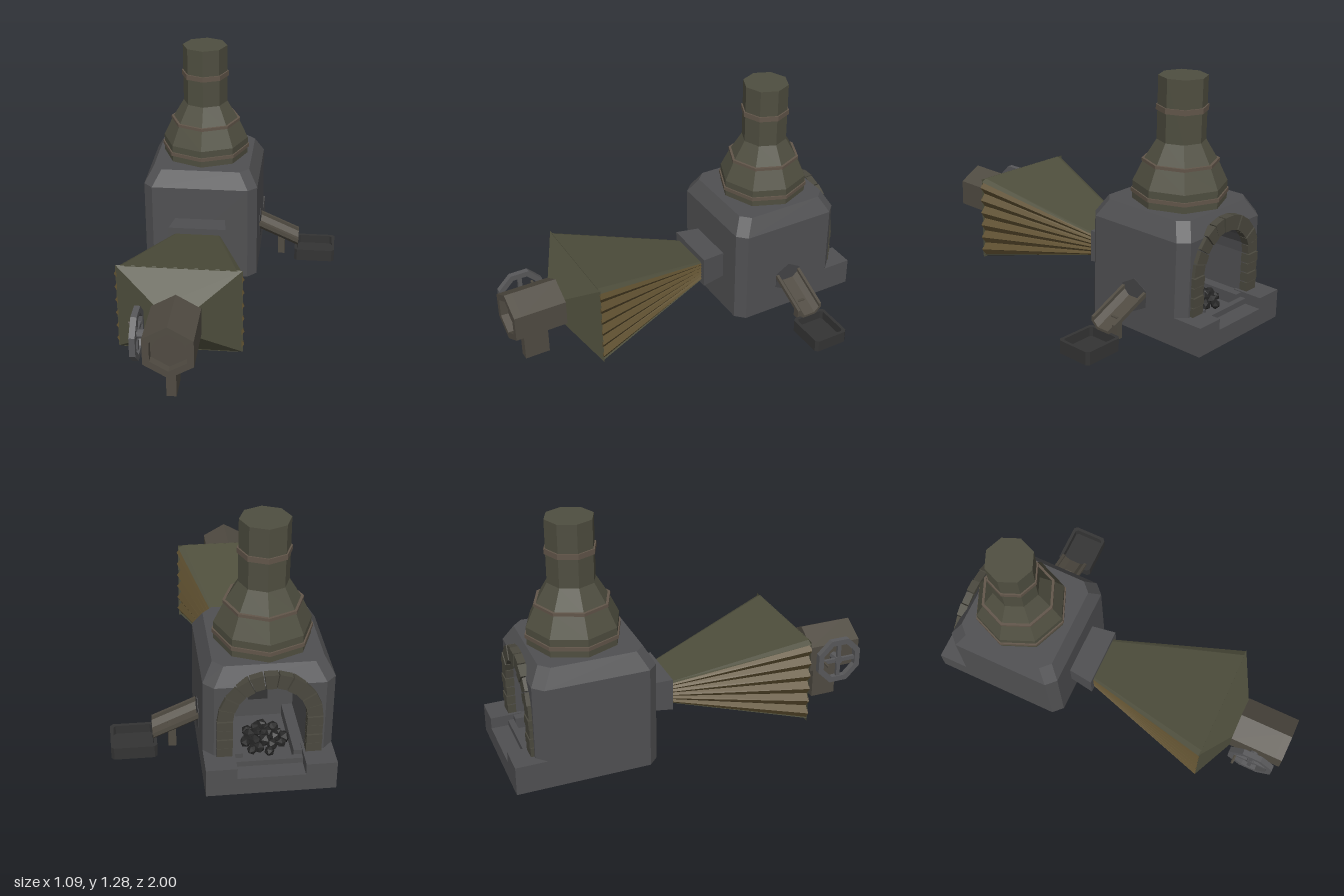
import * as THREE from 'three';

const mat = (color, side = THREE.FrontSide) =>
  new THREE.MeshStandardMaterial({ color, flatShading: true, side });
const stone = mat(0x505052), olive = mat(0x4f4e40), band = mat(0x62564a), leather = mat(0x5f5030),
  plate = mat(0x4e4e3c), pipe = mat(0x504b42), iron = mat(0x343434), brick = mat(0x4a483e),
  steel = mat(0x58585a), coal = mat(0x242424);
const CX = -0.22; // shared centre line of furnace, bellows and pipe

function add(parent, name, geo, material, x = 0, y = 0, z = 0) {
  const mesh = new THREE.Mesh(geo, material);
  mesh.name = name;
  mesh.position.set(x, y, z);
  parent.add(mesh);
  return mesh;
}
// box from min and max corners
function block(parent, name, material, a, b) {
  return add(parent, name, new THREE.BoxGeometry(b[0] - a[0], b[1] - a[1], b[2] - a[2]), material,
    (a[0] + b[0]) / 2, (a[1] + b[1]) / 2, (a[2] + b[2]) / 2);
}
// skin over rings of equal point count, with optional end caps and one optional missing side
function loft(rings, { start = true, end = true, skip = -1 } = {}) {
  const pos = [], n = rings[0].length;
  const tri = (a, b, c) => pos.push(...a, ...b, ...c);
  for (let r = 0; r + 1 < rings.length; r++) {
    for (let i = 0; i < n; i++) {
      if (i === skip) continue;
      const j = (i + 1) % n, A = rings[r], B = rings[r + 1];
      tri(A[i], A[j], B[j]);
      tri(A[i], B[j], B[i]);
    }
  }
  const cap = (ring, flip) => {
    const c = [0, 1, 2].map(k => ring.reduce((s, p) => s + p[k], 0) / n);
    ring.forEach((p, i) => {
      const q = ring[(i + 1) % n];
      flip ? tri(c, q, p) : tri(c, p, q);
    });
  };
  if (start) cap(rings[0], true);
  if (end) cap(rings[rings.length - 1], false);
  const g = new THREE.BufferGeometry();
  g.setAttribute('position', new THREE.Float32BufferAttribute(pos, 3));
  g.computeVertexNormals();
  return g;
}
const section = (pts, z, sx = 1, sy = 1, y = 0) => pts.map(p => [CX + p[0] * sx, y + p[1] * sy, z]);
const rect = (w, h) => [[w, -h], [w, h], [-w, h], [-w, -h]];
const polygon = (n, r, turn = 0) => Array.from({ length: n }, (_, i) => {
  const a = turn + i / n * Math.PI * 2;
  return new THREE.Vector2(Math.cos(a) * r, Math.sin(a) * r);
});
function extrude(outline, depth, hole) {
  const s = new THREE.Shape(outline);
  if (hole) s.holes.push(new THREE.Path(hole));
  return new THREE.ExtrudeGeometry(s, { depth, bevelEnabled: false });
}

function furnace() {
  const g = new THREE.Group();
  g.name = 'furnace';
  const zc = -0.5675, back = -0.885;
  const ring = (y, w, d, c = 0.05) =>
    [[w - c, d], [w, d - c], [w, c - d], [w - c, -d], [c - w, -d], [-w, c - d], [-w, d - c], [c - w, d]]
      .map(([x, z]) => [CX + x, y, zc + z]);
  add(g, 'furnaceWalls', loft([ring(0, 0.32, 0.3175), ring(0.55, 0.32, 0.3175)], { end: false, skip: 3 }), stone);
  add(g, 'furnaceRoof', loft([ring(0.55, 0.32, 0.3175), ring(0.64, 0.27, 0.2675)], { start: false }), stone);

  // arched mouth and the chamber behind it
  const R = 0.183, spring = 0.365, floor = 0.09;
  const arch = [[-R, floor]];
  for (let i = 0; i <= 10; i++) {
    const a = Math.PI * (1 - i / 10);
    arch.push([Math.cos(a) * R, spring + Math.sin(a) * R]);
  }
  arch.push([R, floor]);
  const wall = new THREE.Shape([[-0.27, 0], [0.27, 0], [0.27, 0.55], [-0.27, 0.55]].map(p => new THREE.Vector2(...p)));
  wall.holes.push(new THREE.Path(arch.map(p => new THREE.Vector2(...p))));
  add(g, 'backWall', new THREE.ShapeGeometry(wall), stone, CX, 0, back).rotation.y = Math.PI;
  add(g, 'fireChamber', loft([section(arch, back), section(arch, -0.5)], { start: false }), stone);
  block(g, 'airInlet', iron, [CX - 0.05, 0.2, -0.51], [CX + 0.05, 0.28, -0.497]);

  // hearth ledge, lower in the middle
  for (const s of [-1, 1]) {
    const [a, b] = [CX + s * 0.167, CX + s * 0.32].sort((p, q) => p - q);
    block(g, 'ledgeSide', stone, [a, 0, -1], [b, 0.155, -0.835]);
    const [c, d] = [CX + s * 0.125, CX + s * 0.182].sort((p, q) => p - q);
    block(g, 'hearthCurb', stone, [c, floor, -0.88], [d, 0.15, -0.5]);
  }
  block(g, 'ledgeSill', stone, [CX - 0.167, 0, -1], [CX + 0.167, 0.095, -0.88]);
  block(g, 'hearthLip', stone, [CX - 0.167, 0.09, -0.91], [CX + 0.167, 0.125, -0.88]);

  // brick surround
  const r0 = 0.18, r1 = 0.257, gap = 0.025, N = 11;
  for (let i = 0; i < N; i++) {
    const a = Math.PI * i / N + gap / 2, b = Math.PI * (i + 1) / N - gap / 2;
    const q = [[r0, a], [r1, a], [r1, b], [r0, b]].map(([r, t]) => new THREE.Vector2(Math.cos(t) * r, Math.sin(t) * r));
    add(g, 'archBrick', extrude(q, 0.04 + (i % 2) * 0.004), brick, CX, spring, -0.903 - (i % 2) * 0.004);
  }
  for (const s of [-1, 1]) for (let i = 0; i < 4; i++) {
    const h = (spring - 0.155) / 4, y = 0.155 + i * h, x = CX + s * (r0 + r1) / 2;
    block(g, 'archBrick', brick, [x - 0.0385, y + 0.002, -0.903 - (i % 2) * 0.004], [x + 0.0385, y + h - 0.003, -0.86]);
  }

  // heap of coals
  for (let i = 0; i < 20; i++) {
    const a = i * 2.4, r = 0.027 * Math.sqrt(i);
    const m = add(g, 'coal', new THREE.IcosahedronGeometry(0.026 + (i % 3) * 0.004, 0), coal,
      CX + Math.cos(a) * Math.min(r, 0.1), 0.15 - r * 0.3, -0.73 + Math.sin(a) * r);
    m.rotation.set(i, i * 1.7, 0);
  }
  return g;
}

function chimney() {
  const g = new THREE.Group();
  g.name = 'chimney';
  g.position.set(CX, 0, -0.585);
  const profile = [[0, 0.63], [0.242, 0.63], [0.242, 0.735], [0.19, 0.845], [0.125, 0.955], [0.125, 1.283], [0, 1.283]];
  add(g, 'flue', new THREE.LatheGeometry(profile.map(p => new THREE.Vector2(...p)), 8), olive);
  for (const [r, y, h] of [[0.25, 0.687, 0.02], [0.198, 0.847, 0.016], [0.133, 1.121, 0.028]])
    add(g, 'flueBand', new THREE.CylinderGeometry(r, r, h, 8), band, 0, y, 0);
  return g;
}

function bellows() {
  const g = new THREE.Group();
  g.name = 'bellows';
  add(g, 'nozzle', loft([section(rect(0.14, 0.078), -0.26, 1, 1, 0.283), section(rect(0.16, 0.088), -0.115, 1, 1, 0.283)]), stone);
  // pleated bag
  const side = Array.from({ length: 13 }, (_, i) => [i % 2 ? 0.326 : 0.302, -0.226 + 0.452 * i / 12]);
  const taper = pts => loft([section(pts, -0.115, 0.406, 0.254, 0.275), section(pts, 0.595, 1, 1, 0.29)]);
  add(g, 'pleatedBag', taper([...side, ...side.map(([x, y]) => [-x, -y])]), leather);
  // boards above, below and in front
  const board = [[0.318, 0.222], [0.287, 0.237], [-0.287, 0.237], [-0.318, 0.222]];
  add(g, 'topBoard', taper(board), plate);
  add(g, 'bottomBoard', taper(board.map(([x, y]) => [-x, -y])), plate);
  add(g, 'frontBoard', loft([section(rect(0.318, 0.237), 0.592, 1, 1, 0.29), section(rect(0.1, 0.082), 0.715, 1, 1, 0.29)]), plate);

  // hexagonal intake pipe on a post
  const hex = r => polygon(6, r, Math.PI / 2);
  add(g, 'intakePipe', extrude(hex(0.143), 0.25), pipe, CX, 0.3, 0.708);
  add(g, 'intakeRim', extrude(hex(0.143), 0.042, hex(0.104)), pipe, CX, 0.3, 0.958);
  block(g, 'pipePost', pipe, [CX - 0.025, 0, 0.785], [CX + 0.025, 0.18, 0.925]);

  // hand wheel
  const wheel = new THREE.Group();
  wheel.name = 'handWheel';
  wheel.position.set(-0.395, 0.3, 0.847);
  wheel.rotation.y = -Math.PI / 2;
  add(wheel, 'wheelRim', extrude(polygon(8, 0.135, Math.PI / 8), 0.03, polygon(8, 0.102, Math.PI / 8)), steel, 0, 0, -0.015);
  for (let i = 0; i < 2; i++)
    add(wheel, 'wheelSpoke', new THREE.BoxGeometry(0.22, 0.022, 0.016), steel).rotation.z = i * Math.PI / 2;
  add(wheel, 'wheelHub', new THREE.CylinderGeometry(0.024, 0.024, 0.07, 8), steel, 0, 0, -0.025).rotation.x = Math.PI / 2;
  add(wheel, 'wheelHandle', new THREE.CylinderGeometry(0.008, 0.008, 0.06, 6), pipe, -0.087, 0, 0.025).rotation.x = Math.PI / 2;
  g.add(wheel);
  return g;
}

function spout() {
  const g = new THREE.Group();
  g.name = 'spout';
  const z = -0.573;
  // sloping trough
  const u = [[-0.078, 0.06], [-0.078, 0.035], [-0.04, 0], [0.04, 0], [0.078, 0.035], [0.078, 0.06],
    [0.062, 0.06], [0.062, 0.04], [0.033, 0.013], [-0.033, 0.013], [-0.062, 0.04], [-0.062, 0.06]];
  const trough = extrude(u.map(p => new THREE.Vector2(...p)), 0.25).rotateY(Math.PI / 2);
  trough.applyMatrix4(new THREE.Matrix4().set(1, 0, 0, 0, -0.45, 1, 0, 0, 0, 0, 1, 0, 0, 0, 0, 1));
  add(g, 'trough', trough, pipe, 0.08, 0.182, z);
  add(g, 'tapHole', new THREE.CylinderGeometry(0.09, 0.09, 0.006, 6).rotateZ(Math.PI / 2), mat(0x444446), 0.1, 0.195, z)
    .rotation.x = Math.PI / 6 * 3;
  block(g, 'troughPost', pipe, [0.21, 0, z - 0.02], [0.25, 0.125, z + 0.02]);
  // open casting tray with clipped corners
  const clip = (w, h, c) => [[w - c, -h], [w, c - h], [w, h - c], [w - c, h], [c - w, h], [-w, h - c], [-w, c - h], [c - w, -h]]
    .map(p => new THREE.Vector2(...p));
  const tray = (depth, hole) => extrude(clip(0.117, 0.101, 0.015), depth, hole).rotateX(-Math.PI / 2);
  add(g, 'trayFloor', tray(0.02), iron, 0.428, 0, z - 0.003);
  add(g, 'trayRim', tray(0.05, clip(0.1, 0.084, 0.012)), iron, 0.428, 0.02, z - 0.003);
  return g;
}

export function createModel() {
  const model = new THREE.Group();
  model.name = 'smeltingFurnace';
  model.add(furnace(), chimney(), bellows(), spout());
  return model;
}
